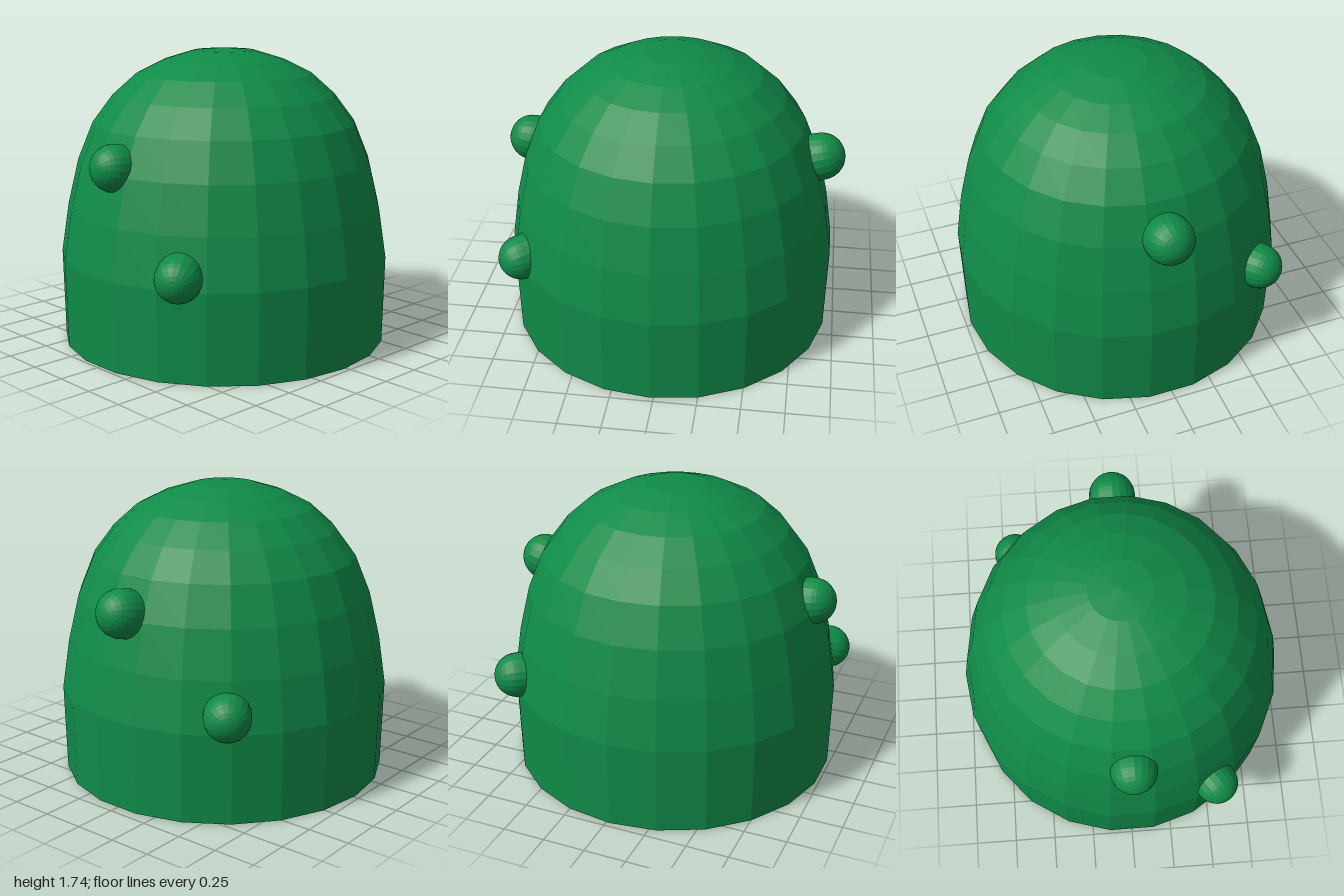
import * as THREE from 'three';

const green = new THREE.MeshStandardMaterial({ color: 0x108b48, flatShading: true, side: THREE.DoubleSide });
green.name = 'green';

const lathe = (profile, sides) =>
  new THREE.LatheGeometry(profile.map(([r, y]) => new THREE.Vector2(r, y)), sides);

// Hollow knob: open tube behind its origin, hemisphere in front, pointing along +y
function knobGeometry(radius, tubeLength) {
  const profile = [[radius, -tubeLength]];
  const steps = 8;
  for (let i = 0; i <= steps; i++) {
    const a = (i / steps) * Math.PI / 2;
    profile.push([i === steps ? 0 : radius * Math.cos(a), radius * Math.sin(a)]);
  }
  return lathe(profile, 20);
}

export function createModel() {
  const model = new THREE.Group();
  model.name = 'knobbedDome';

  // Faceted dome shell, open underneath
  const shell = new THREE.Mesh(lathe([
    [0.97, 0], [0.98, 0.52], [0.935, 0.81], [0.87, 1.08], [0.78, 1.3],
    [0.66, 1.46], [0.52, 1.585], [0.36, 1.665], [0.18, 1.72], [0, 1.735],
  ], 22), green);
  shell.name = 'domeShell';
  shell.position.x = -0.02;
  model.add(shell);

  // Knobs through the wall: name, centre, outward direction, radius
  const knobs = [
    ['upperLeftKnob', [0.86, 1.115, 0.015], [0.96, 0.27, 0], 0.14],
    ['upperRightKnob', [-0.865, 1.12, 0.01], [-0.99, 0.12, 0], 0.135],
    ['lowerFrontKnob', [-0.848, 0.588, 0.517], [-0.82, -0.18, 0.57], 0.13],
    ['lowerBackKnob', [0.735, 0.622, -0.622], [0.77, 0, -0.62], 0.132],
  ];
  const up = new THREE.Vector3(0, 1, 0);
  for (const [name, centre, direction, radius] of knobs) {
    const knob = new THREE.Mesh(knobGeometry(radius, 0.13), green);
    knob.name = name;
    knob.position.set(...centre);
    knob.quaternion.setFromUnitVectors(up, new THREE.Vector3(...direction).normalize());
    model.add(knob);
  }
  return model;
}
